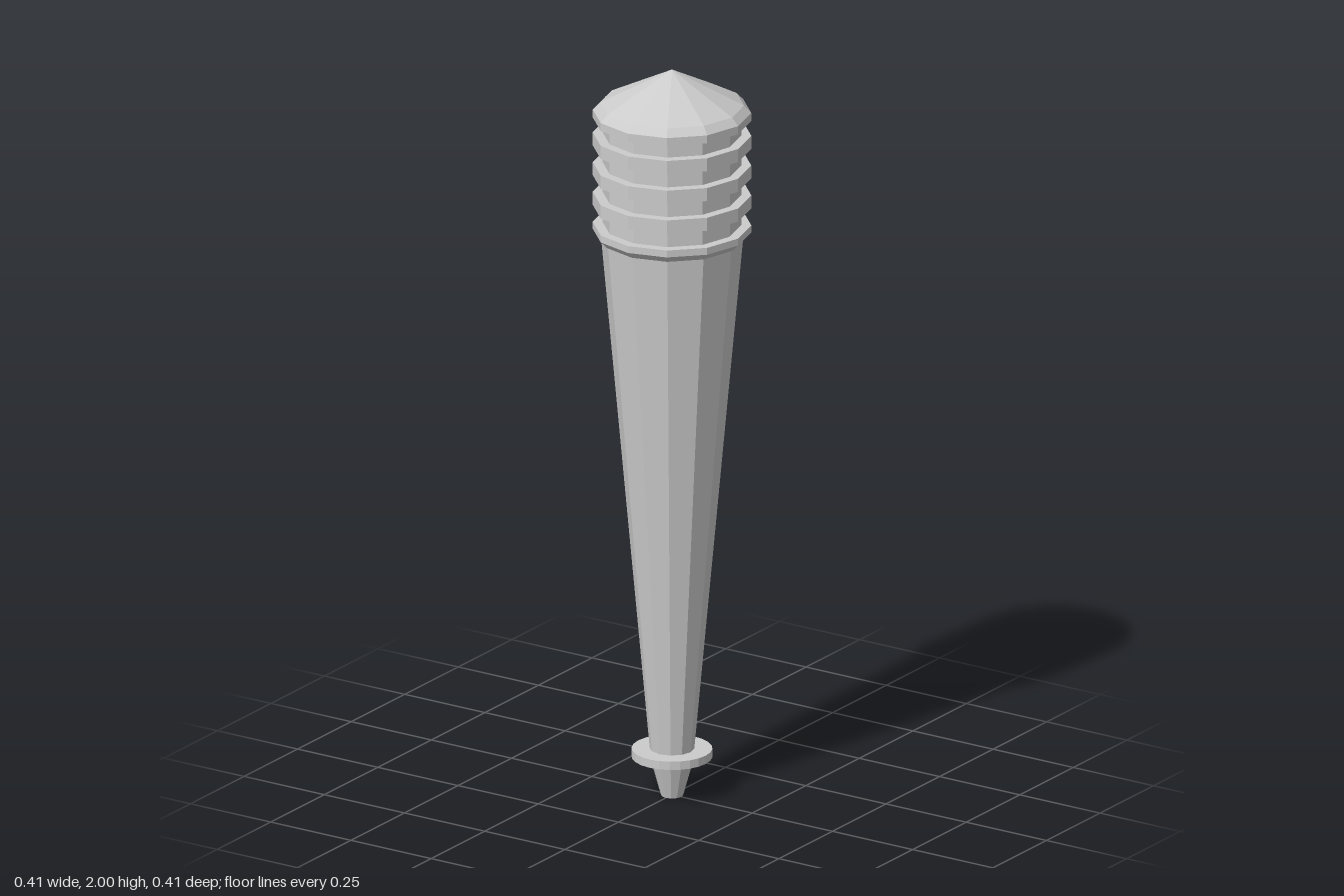
import * as THREE from 'three';

const SIDES = 12;

export function createModel() {
  const model = new THREE.Group();
  const material = new THREE.MeshStandardMaterial({ color: 0xcccccc, flatShading: true });

  // Faceted frustum between two heights
  function frustum(name, y0, y1, r0, r1, sides = SIDES) {
    const mesh = new THREE.Mesh(new THREE.CylinderGeometry(r1, r0, y1 - y0, sides), material);
    mesh.name = name;
    mesh.position.y = (y0 + y1) / 2;
    model.add(mesh);
  }

  // Solid of revolution from [radius, height] pairs, bottom to top
  function turned(name, profile) {
    const points = profile.map(([r, y]) => new THREE.Vector2(r, y));
    const mesh = new THREE.Mesh(new THREE.LatheGeometry(points, SIDES), material);
    mesh.name = name;
    model.add(mesh);
  }

  // Narrow foot, round flange and tapered shaft
  frustum('tip', 0, 0.106, 0.029, 0.058);
  frustum('flange', 0.106, 0.129, 0.105, 0.105, 24);
  frustum('shaft', 0.129, 1.54, 0.058, 0.185);

  // Bevelled collar carrying the ribbed head
  turned('collar', [[0, 1.537], [0.187, 1.537], [0.206, 1.556], [0.206, 1.575], [0, 1.575]]);
  frustum('headCore', 1.575, 1.863, 0.18, 0.18);
  for (let i = 0; i < 3; i++) {
    const y = 1.622 + i * 0.082;
    frustum(`headRing${i + 1}`, y, y + 0.036, 0.206, 0.206);
  }

  // Pointed cap with a bevelled rim
  turned('cap', [[0, 1.863], [0.206, 1.863], [0.206, 1.885], [0.187, 1.905], [0, 2]]);

  return model;
}
